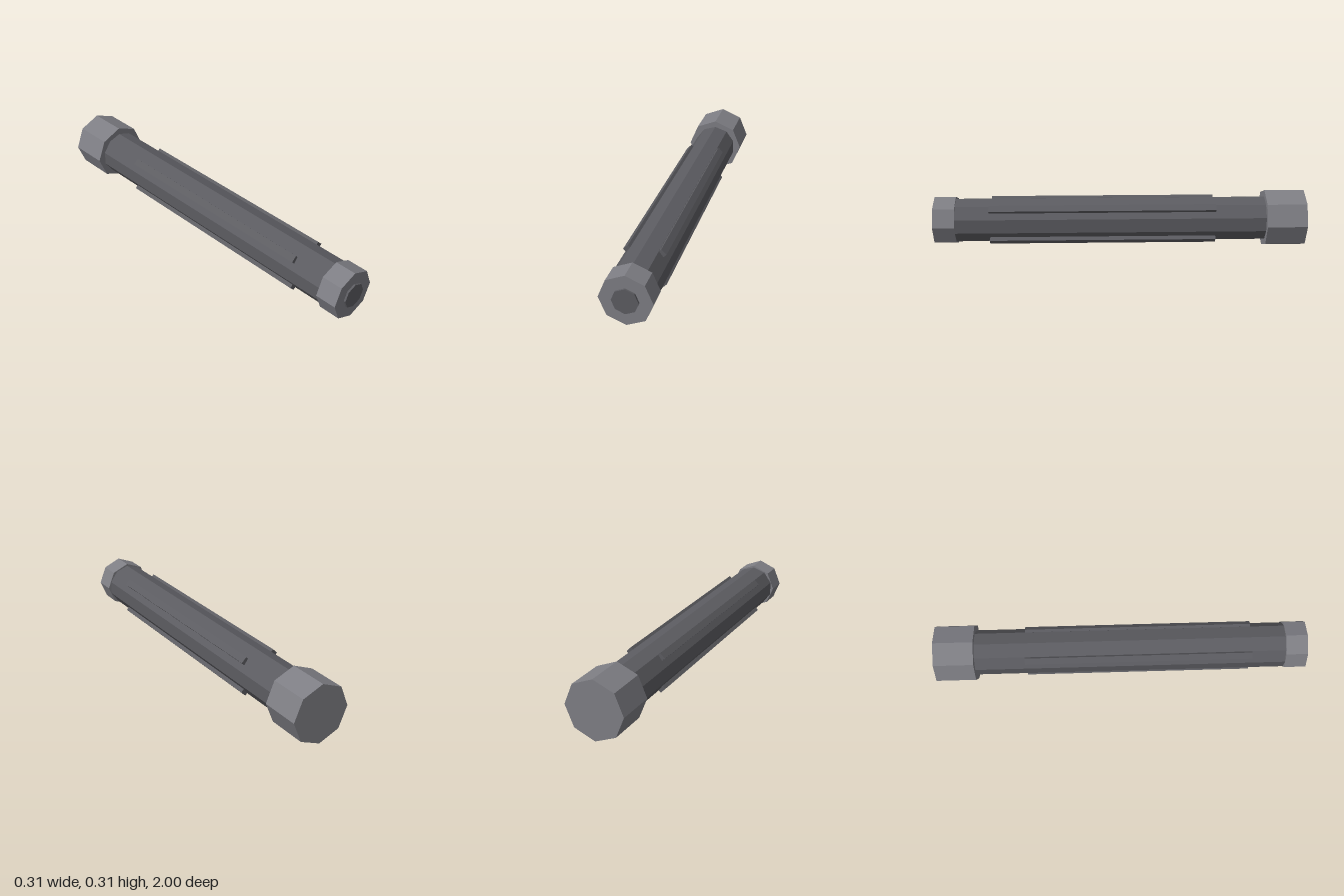
import * as THREE from 'three';

const AXIS_Y = 0.157;

export function createModel() {
  const model = new THREE.Group();
  model.name = 'ribbedTube';

  const darkMetal = new THREE.MeshStandardMaterial({ color: 0x5c5c61 });
  darkMetal.name = 'darkMetal';
  const lightMetal = new THREE.MeshStandardMaterial({ color: 0x7e7e84 });
  lightMetal.name = 'lightMetal';

  // Faceted prism lying along z, from zBack to zFront, with one corner at the top
  function prism(name, radius, sides, zBack, zFront, material) {
    const geometry = new THREE.CylinderGeometry(radius, radius, zFront - zBack, sides)
      .rotateX(Math.PI / 2)
      .toNonIndexed();
    geometry.computeVertexNormals();
    const mesh = new THREE.Mesh(geometry, material);
    mesh.name = name;
    mesh.position.set(0, AXIS_Y, (zBack + zFront) / 2);
    model.add(mesh);
  }

  prism('tube', 0.12, 10, -0.8, 0.89, darkMetal);
  prism('rearCap', 0.157, 8, -1, -0.787, lightMetal);
  prism('frontCollar', 0.132, 8, 0.875, 0.99, lightMetal);
  prism('frontOpening', 0.066, 8, 0.95, 1, darkMetal);

  // Four long ribs on the diagonals of the tube
  const outer = 0.134, depth = 0.03;
  for (let i = 0; i < 4; i++) {
    const angle = Math.PI / 4 + (i * Math.PI) / 2;
    const r = outer - depth / 2;
    const rib = new THREE.Mesh(new THREE.BoxGeometry(depth, 0.036, 1.21), darkMetal);
    rib.name = 'rib' + (i + 1);
    rib.position.set(Math.cos(angle) * r, AXIS_Y + Math.sin(angle) * r, 0.088);
    rib.rotation.z = angle;
    model.add(rib);
  }

  return model;
}
